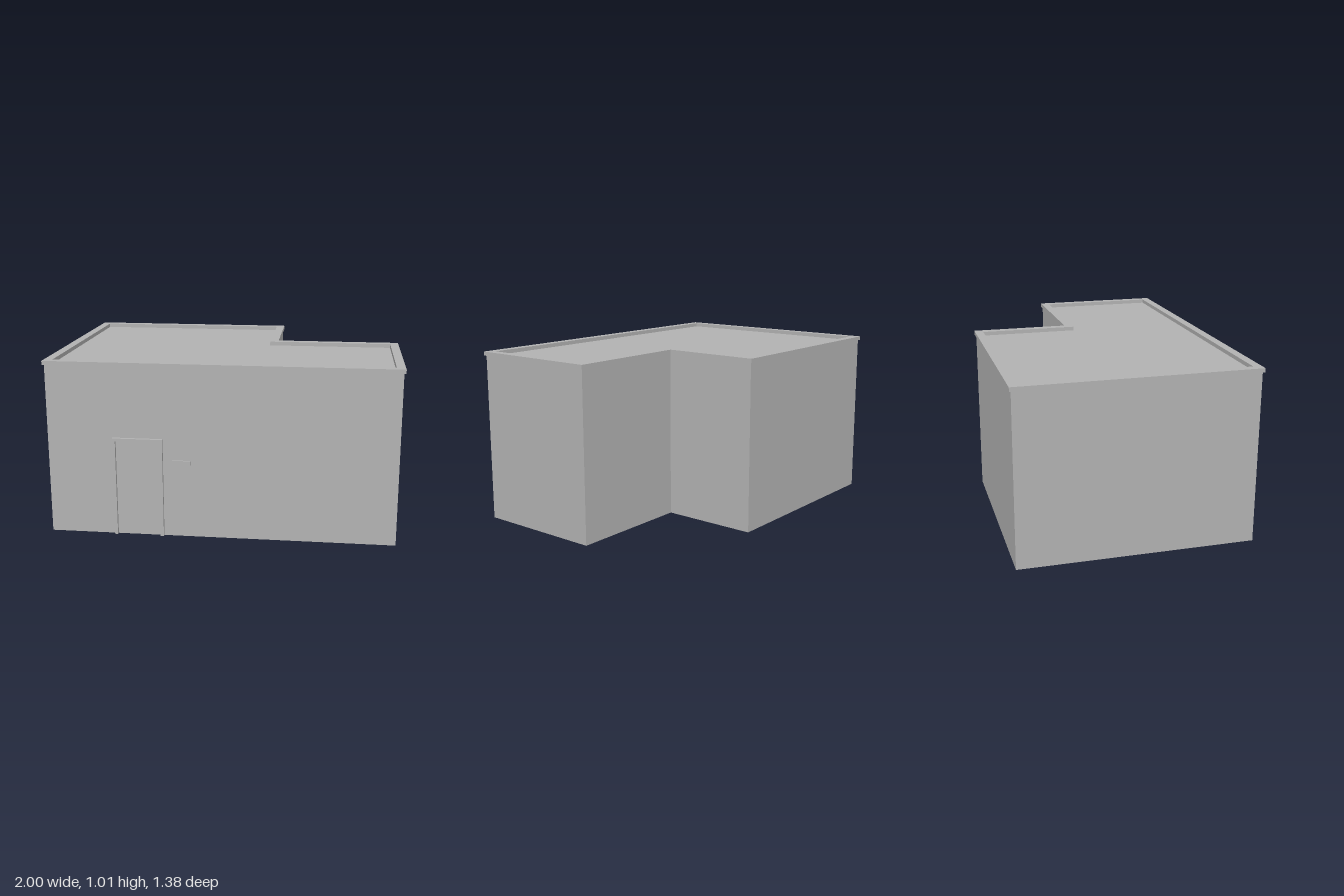
import * as THREE from 'three';

// L-shaped plan, grown (+) or shrunk (-) by d; shape y is -z
function planPoints(d) {
  return [
    [-0.99 - d, -0.672 - d],
    [0.99 + d, -0.672 - d],
    [0.99 + d, 0.105 + d],
    [0.255 + d, 0.105 + d],
    [0.255 + d, 0.68 + d],
    [-0.99 - d, 0.68 + d],
  ].map(([x, y]) => new THREE.Vector2(x, y));
}

function extrudeUp(shape, y0, y1) {
  const geo = new THREE.ExtrudeGeometry(shape, { depth: y1 - y0, bevelEnabled: false });
  return geo.rotateX(-Math.PI / 2).translate(0, y0, 0);
}

export function createModel() {
  const model = new THREE.Group();
  model.name = 'flatRoofBuilding';
  const grey = new THREE.MeshStandardMaterial({ color: 0xb2b2b2 });
  grey.name = 'plain grey';

  const add = (name, geo) => {
    const mesh = new THREE.Mesh(geo, grey);
    mesh.name = name;
    model.add(mesh);
  };

  const wallTop = 0.987;
  const wallFront = 0.672;

  // Walls, floor and flat roof
  add('building', extrudeUp(new THREE.Shape(planPoints(0)), 0, wallTop));

  // Raised coping around the roof edge, overhanging the walls
  const coping = new THREE.Shape(planPoints(0.01));
  coping.holes.push(new THREE.Path(planPoints(-0.039)));
  add('roofCoping', extrudeUp(coping, wallTop, 1.01));

  // Door surround: two jambs and a lintel in one arch
  const surround = new THREE.Shape([
    [-0.614, 0], [-0.597, 0], [-0.597, 0.56], [-0.346, 0.56],
    [-0.346, 0], [-0.327, 0], [-0.327, 0.577], [-0.614, 0.577],
  ].map(([x, y]) => new THREE.Vector2(x, y)));
  add('doorFrame', new THREE.ExtrudeGeometry(surround, { depth: 0.019, bevelEnabled: false })
    .translate(0, 0, wallFront));

  // Small wall plate beside the door
  add('wallPlate', new THREE.BoxGeometry(0.105, 0.075, 0.009)
    .translate(-0.222, 0.417, wallFront + 0.0045));

  return model;
}
